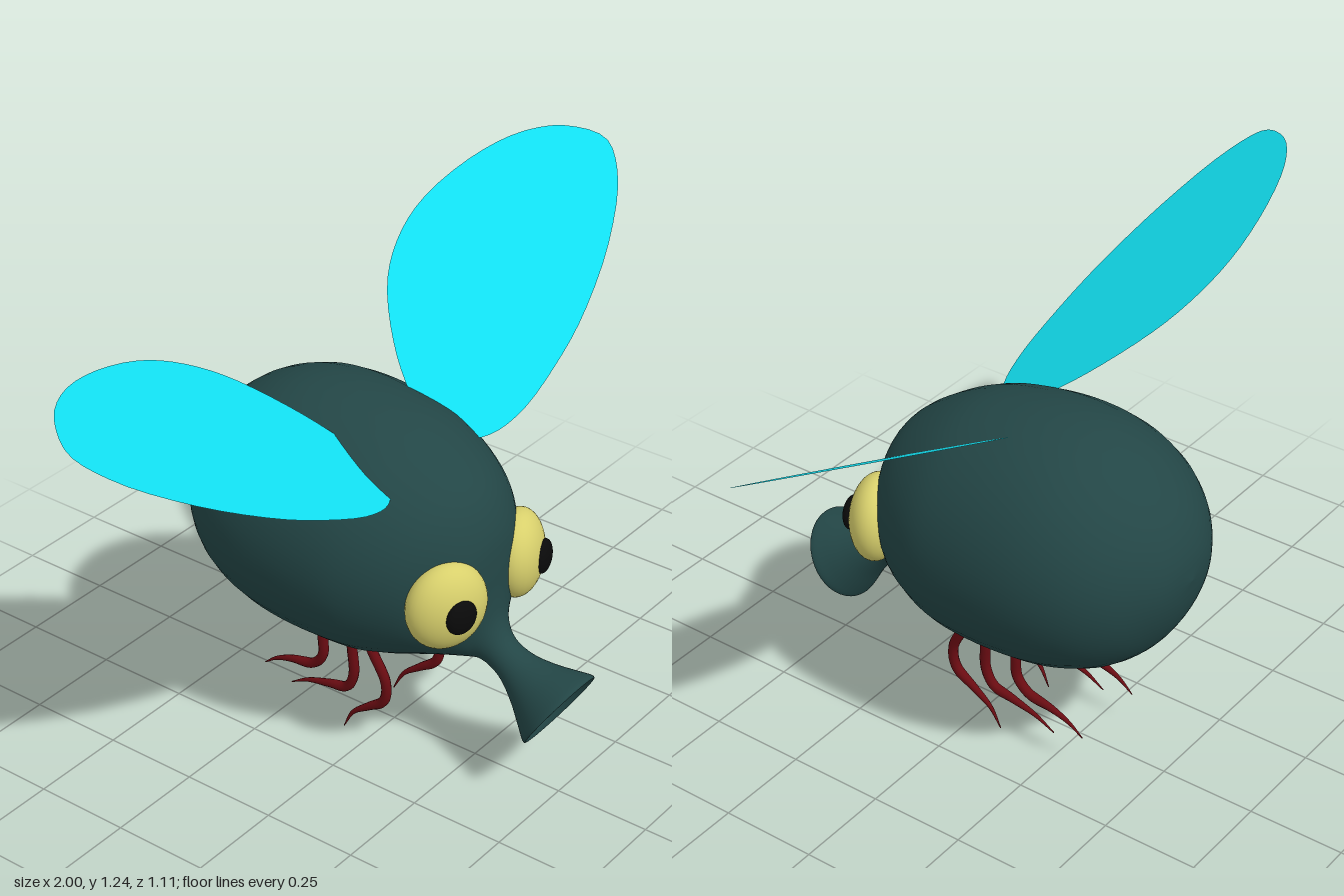
import * as THREE from 'three';

const paint = (color, side = THREE.FrontSide) => new THREE.MeshStandardMaterial({ color, side });
const bodyMat = paint(0x234646);
const eyeMat = paint(0xd8d06c);
const pupilMat = paint(0x0a0a0a);
const legMat = paint(0x6a0c12);
const wingMat = paint(0x12dff0, THREE.DoubleSide);

function part(parent, name, geometry, material) {
  const mesh = new THREE.Mesh(geometry, material);
  mesh.name = name;
  parent.add(mesh);
  return mesh;
}

// Body and snout: oval rings as [topZ, topY, bottomZ, bottomY, halfWidth], tail to mouth
const RINGS = [
  [-0.555, 0.6, -0.555, 0.6, 0],
  [-0.545, 0.67, -0.54, 0.52, 0.085],
  [-0.515, 0.74, -0.51, 0.445, 0.15],
  [-0.46, 0.805, -0.46, 0.375, 0.22],
  [-0.38, 0.865, -0.38, 0.315, 0.277],
  [-0.27, 0.905, -0.27, 0.275, 0.312],
  [-0.14, 0.913, -0.14, 0.258, 0.322],
  [0, 0.893, 0, 0.26, 0.312],
  [0.1, 0.86, 0.08, 0.275, 0.285],
  [0.2, 0.8, 0.15, 0.295, 0.238],
  [0.26, 0.74, 0.2, 0.305, 0.185],
  [0.295, 0.66, 0.235, 0.31, 0.14],
  [0.305, 0.58, 0.258, 0.311, 0.1],
  [0.308, 0.5, 0.27, 0.311, 0.073],
  [0.318, 0.43, 0.282, 0.309, 0.055],
  [0.348, 0.38, 0.302, 0.301, 0.045],
  [0.4, 0.353, 0.336, 0.278, 0.05],
  [0.46, 0.345, 0.373, 0.232, 0.07],
  [0.515, 0.346, 0.405, 0.178, 0.095],
  [0.55, 0.345, 0.425, 0.147, 0.112],
  [0.553, 0.336, 0.434, 0.148, 0.107],
  [0.52, 0.322, 0.425, 0.18, 0.08],
  [0.47, 0.305, 0.41, 0.22, 0.05],
  [0.43, 0.265, 0.43, 0.265, 0],
];

function bodyGeometry() {
  const top = new THREE.CatmullRomCurve3(RINGS.map(r => new THREE.Vector3(r[4], r[1], r[0])), false, 'catmullrom');
  const bottom = new THREE.CatmullRomCurve3(RINGS.map(r => new THREE.Vector3(0, r[3], r[2])), false, 'catmullrom');
  const rows = (RINGS.length - 1) * 4, sides = 40;
  const positions = [], index = [];
  for (let i = 0; i <= rows; i++) {
    const a = top.getPoint(i / rows), b = bottom.getPoint(i / rows);
    for (let j = 0; j < sides; j++) {
      const angle = (j / sides) * Math.PI * 2;
      const k = (1 + Math.cos(angle)) / 2;
      positions.push(a.x * Math.sin(angle), b.y + (a.y - b.y) * k, b.z + (a.z - b.z) * k);
      if (i === rows) continue;
      const p = i * sides + j, q = i * sides + (j + 1) % sides;
      index.push(p, p + sides, q, q, p + sides, q + sides);
    }
  }
  const geometry = new THREE.BufferGeometry();
  geometry.setAttribute('position', new THREE.Float32BufferAttribute(positions, 3));
  geometry.setIndex(index);
  geometry.computeVertexNormals();
  return geometry;
}

// Wing: outline seen from above (x, z), lifted onto a sloping plane
const WING = [
  [0.11, 0.02], [0.14, 0.09], [0.2, 0.135], [0.3, 0.157], [0.45, 0.152], [0.6, 0.13],
  [0.8, 0.07], [0.95, -0.01], [1, -0.08], [0.95, -0.17], [0.85, -0.24], [0.7, -0.29],
  [0.52, -0.312], [0.4, -0.295], [0.3, -0.25], [0.2, -0.155], [0.14, -0.065],
];

function wingGeometry(side) {
  const outline = new THREE.CatmullRomCurve3(WING.map(([x, z]) => new THREE.Vector3(x * side, z, 0)), true);
  const geometry = new THREE.ShapeGeometry(new THREE.Shape(outline.getPoints(60)));
  const pos = geometry.attributes.position;
  for (let i = 0; i < pos.count; i++) {
    const x = pos.getX(i), z = pos.getY(i);
    pos.setXYZ(i, x, 0.779 + 0.387 * Math.abs(x) - 0.548 * z, z);
  }
  geometry.computeVertexNormals();
  return geometry;
}

// Legs: side paths as [z, y]
const LEGS = {
  frontLeg: [[0.005, 0.31], [0.025, 0.27], [0.058, 0.2], [0.05, 0.14], [0, 0.1], [-0.05, 0.06], [-0.08, 0.005]],
  middleLeg: [[-0.045, 0.31], [-0.043, 0.26], [-0.042, 0.18], [-0.065, 0.135], [-0.12, 0.12], [-0.19, 0.1], [-0.245, 0.07]],
  backLeg: [[-0.135, 0.31], [-0.135, 0.26], [-0.138, 0.2], [-0.17, 0.162], [-0.24, 0.145], [-0.29, 0.125], [-0.33, 0.095]],
};

// Tube that narrows to a point along its last part
function legGeometry(path, side) {
  const curve = new THREE.CatmullRomCurve3(path.map(([z, y]) => new THREE.Vector3(side * (0.102 + 0.05 * y), y, z)));
  const steps = 36, sides = 10;
  const geometry = new THREE.TubeGeometry(curve, steps, 0.013, sides);
  const pos = geometry.attributes.position, v = new THREE.Vector3();
  for (let i = 0; i < pos.count; i++) {
    const t = Math.floor(i / (sides + 1)) / steps;
    const taper = t < 0.55 ? 1 : 1 - 0.9 * (t - 0.55) / 0.45;
    const centre = curve.getPointAt(t);
    v.fromBufferAttribute(pos, i).sub(centre).multiplyScalar(taper).add(centre);
    pos.setXYZ(i, v.x, v.y, v.z);
  }
  return geometry;
}

export function createModel() {
  const model = new THREE.Group();
  model.name = 'fly';
  part(model, 'body', bodyGeometry(), bodyMat);
  const ball = new THREE.SphereGeometry(1, 32, 24);

  for (const side of [1, -1]) {
    const label = side > 0 ? 'left' : 'right';

    // Bulging eye turned outward, with its pupil
    const eye = part(model, label + 'Eye', ball, eyeMat);
    eye.position.set(side * 0.145, 0.527, 0.262);
    eye.scale.set(0.105, 0.113, 0.067);
    eye.rotation.y = side * 0.44;
    const pupil = part(model, label + 'Pupil', ball, pupilMat);
    pupil.position.set(side * 0.167, 0.527, 0.322);
    pupil.scale.set(0.042, 0.044, 0.02);
    pupil.rotation.y = side * 0.3;

    part(model, label + 'Wing', wingGeometry(side), wingMat);
    for (const [name, path] of Object.entries(LEGS)) {
      part(model, label + name[0].toUpperCase() + name.slice(1), legGeometry(path, side), legMat);
    }
  }
  return model;
}
